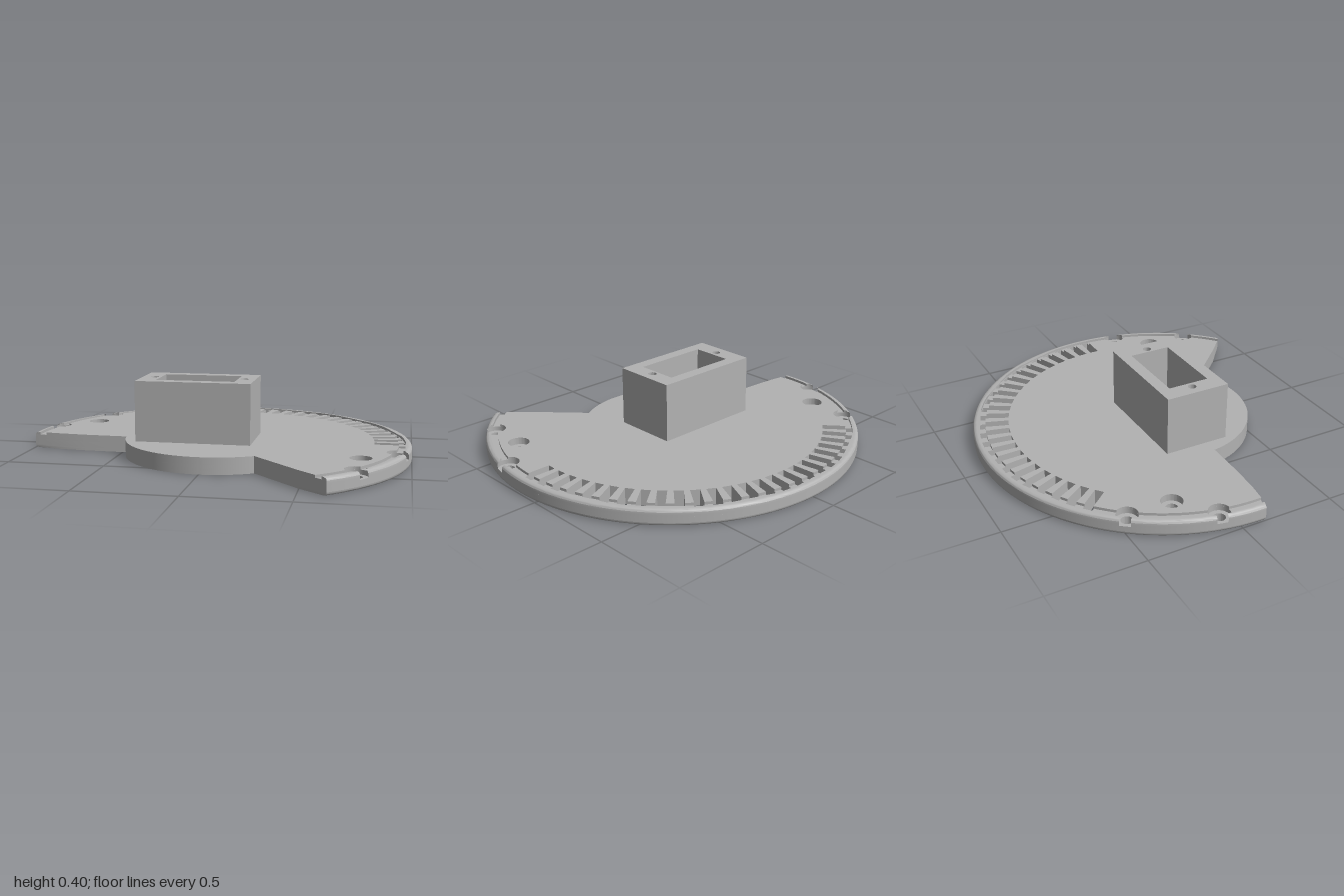
import * as THREE from 'three';
import { toCreasedNormals } from 'three/addons/utils/BufferGeometryUtils.js';

const CZ = 0.11;          // disc centre in z
const H = 0.085;          // plate thickness
const FILLET = 0.018;     // rounding of the outer rim
const BORE_Y = 0.048, GROOVE_Y = 0.071;
const GROOVE_IN = 0.935, GROOVE_OUT = 0.97;
const SLOT_IN = 0.812, SLOT_OUT = 0.967, SLOT_HALF = 0.024;
const BORE_C = 0.952, BORE_R = 0.055, SCREW_R = 0.03;
const rad = THREE.MathUtils.degToRad;
const polar = (r, a) => new THREE.Vector2(r * Math.cos(a), r * Math.sin(a));

const slotAngles = Array.from({ length: 25 }, (_, i) => rad(i * 5.44));
const rimBores = [-38, -12, 142, 168].map(rad);
const innerBores = [-25, 155].map(rad);
const startAngle = r => rad(-50.7 - 15.4 * (1 - r));
const endAngle = r => rad(181 + 13 * (1 - r));

function circleHole(x, y, r) {
  return new THREE.Path().absarc(x, y, r, 0, Math.PI * 2, true);
}

function arc(r, a, b) {
  const n = Math.max(1, Math.ceil((b - a) / rad(1.5)));
  return Array.from({ length: n + 1 }, (_, i) => polar(r, a + ((b - a) * i) / n));
}

// Point given along and across a direction
const local = (a, u, w) => new THREE.Vector2(u, w).rotateAround(new THREE.Vector2(), a);

// Circular bite of a screw bore out of an arc of radius r
function boreBite(r, a) {
  const f = Math.acos((r * r - BORE_C ** 2 - BORE_R ** 2) / (2 * BORE_C * BORE_R));
  const pts = [];
  for (let i = 0; i <= 24; i++) {
    const p = -f - (i / 24) * (2 * Math.PI - 2 * f);
    pts.push(local(a, BORE_C + BORE_R * Math.cos(p), BORE_R * Math.sin(p)));
  }
  return { pts, a };
}

// Rectangular bite of a slot out of an arc of radius r
function slotBite(r, a) {
  const u = Math.sqrt(r * r - SLOT_HALF ** 2);
  const pts = [[u, -1], [SLOT_IN, -1], [SLOT_IN, 1], [u, 1]].map(([x, s]) => local(a, x, s * SLOT_HALF));
  return { pts, a };
}

// Plate outline: outer arc with bites, two cut edges, and the hub arc
function plateShape(r, bites) {
  const pts = [];
  let a = startAngle(r);
  for (const bite of bites.sort((p, q) => p.a - q.a)) {
    const half = Math.abs(bite.a - Math.atan2(bite.pts[0].y, bite.pts[0].x));
    const spread = half > Math.PI ? 2 * Math.PI - half : half;
    if (bite.a - spread > a + 1e-4) pts.push(...arc(r, a, bite.a - spread).slice(0, -1));
    pts.push(...bite.pts);
    a = bite.a + spread + 1e-4;
  }
  pts.push(...arc(r, a, endAngle(r)));
  for (const [x, y] of [[-0.85, -0.042], [-0.7, -0.053]]) pts.push(new THREE.Vector2(x, y));
  pts.push(...arc(0.48, rad(187), rad(302.4)));
  pts.push(new THREE.Vector2(0.5, -0.66));
  const shape = new THREE.Shape(pts);
  shape.holes.push(circleHole(0, 0, 0.105));
  return shape;
}

function addSlotHoles(shape) {
  for (const a of slotAngles) {
    shape.holes.push(new THREE.Path([[SLOT_IN, -1], [SLOT_IN, 1], [SLOT_OUT, 1], [SLOT_OUT, -1]]
      .map(([u, s]) => local(a, u, s * SLOT_HALF))));
  }
}

function addScrewHoles(shape, angles, c, r) {
  for (const a of angles) {
    const p = polar(c, a);
    shape.holes.push(circleHole(p.x, p.y, r));
  }
}

// Extrude upward from y0 to y1, pulling the rim in along the fillet
function slab(shapes, y0, y1, steps = 1) {
  const geo = new THREE.ExtrudeGeometry(shapes, { depth: y1 - y0, steps, bevelEnabled: false, curveSegments: 24 });
  geo.rotateX(-Math.PI / 2).translate(0, y0, 0);
  const pos = geo.attributes.position;
  for (let i = 0; i < pos.count; i++) {
    const x = pos.getX(i), y = pos.getY(i), z = pos.getZ(i);
    const d = Math.max(0, FILLET - Math.min(y, H - y));
    const limit = 1 - FILLET + Math.sqrt(Math.max(0, FILLET ** 2 - d * d));
    const r = Math.hypot(x, z);
    if (r > limit) pos.setXYZ(i, (x * limit) / r, y, (z * limit) / r);
  }
  geo.translate(0, 0, CZ);
  return toCreasedNormals(geo, 0.55);
}

// Raised rim pieces between the screw bores
function rimShapes() {
  const half = r => Math.acos((r * r + BORE_C ** 2 - BORE_R ** 2) / (2 * r * BORE_C));
  const radii = [1, 0.99, 0.98, GROOVE_OUT];
  const shapes = [];
  for (let i = 0; i <= rimBores.length; i++) {
    const from = r => (i === 0 ? startAngle(r) : rimBores[i - 1] + half(r));
    const to = r => (i === rimBores.length ? endAngle(r) : rimBores[i] - half(r));
    shapes.push(new THREE.Shape([
      ...arc(1, from(1), to(1)),
      ...radii.slice(1, -1).map(r => polar(r, to(r))),
      ...arc(GROOVE_OUT, from(GROOVE_OUT), to(GROOVE_OUT)).reverse(),
      ...radii.slice(1, -1).reverse().map(r => polar(r, from(r))),
    ]));
  }
  return shapes;
}

export function createModel() {
  const model = new THREE.Group();
  const grey = new THREE.MeshStandardMaterial({ color: 0xb2b2b2 });
  grey.name = 'plain grey';
  const add = (name, geo) => {
    const mesh = new THREE.Mesh(geo, grey);
    mesh.name = name;
    model.add(mesh);
  };

  // Lower plate with slots and through holes
  const base = plateShape(1, []);
  addSlotHoles(base);
  addScrewHoles(base, rimBores, BORE_C, SCREW_R);
  addScrewHoles(base, innerBores, 0.839, SCREW_R);
  add('basePlateEdge', slab(base, 0, FILLET, 4));
  add('basePlate', slab(base, FILLET, BORE_Y));

  // Middle plate with counterbores
  const middle = plateShape(1, rimBores.map(a => boreBite(1, a)));
  addSlotHoles(middle);
  addScrewHoles(middle, innerBores, 0.839, BORE_R);
  add('counterborePlate', slab(middle, BORE_Y, GROOVE_Y, 4));

  // Top plate inside the groove
  const top = plateShape(GROOVE_IN, [
    ...rimBores.map(a => boreBite(GROOVE_IN, a)),
    ...slotAngles.map(a => slotBite(GROOVE_IN, a)),
  ]);
  addScrewHoles(top, innerBores, 0.839, BORE_R);
  add('topPlate', slab(top, GROOVE_Y, H));

  // Rim outside the groove
  add('rim', slab(rimShapes(), GROOVE_Y, H, 4));

  // Hollow box mount with two small screw holes
  const rect = (Type, x0, x1, y0, y1) =>
    new Type([[x0, y0], [x1, y0], [x1, y1], [x0, y1]].map(p => new THREE.Vector2(...p)));
  const box = rect(THREE.Shape, -0.397, 0.2, -0.173, 0.173);
  box.holes.push(rect(THREE.Path, -0.3, 0.108, -0.11, 0.11));
  for (const x of [-0.335, 0.141]) box.holes.push(circleHole(x, 0, 0.022));
  const boxGeo = new THREE.ExtrudeGeometry(box, { depth: 0.398 - H, bevelEnabled: false, curveSegments: 12 });
  boxGeo.rotateX(-Math.PI / 2).translate(0, H, CZ);
  add('boxMount', toCreasedNormals(boxGeo, 0.55));

  return model;
}
